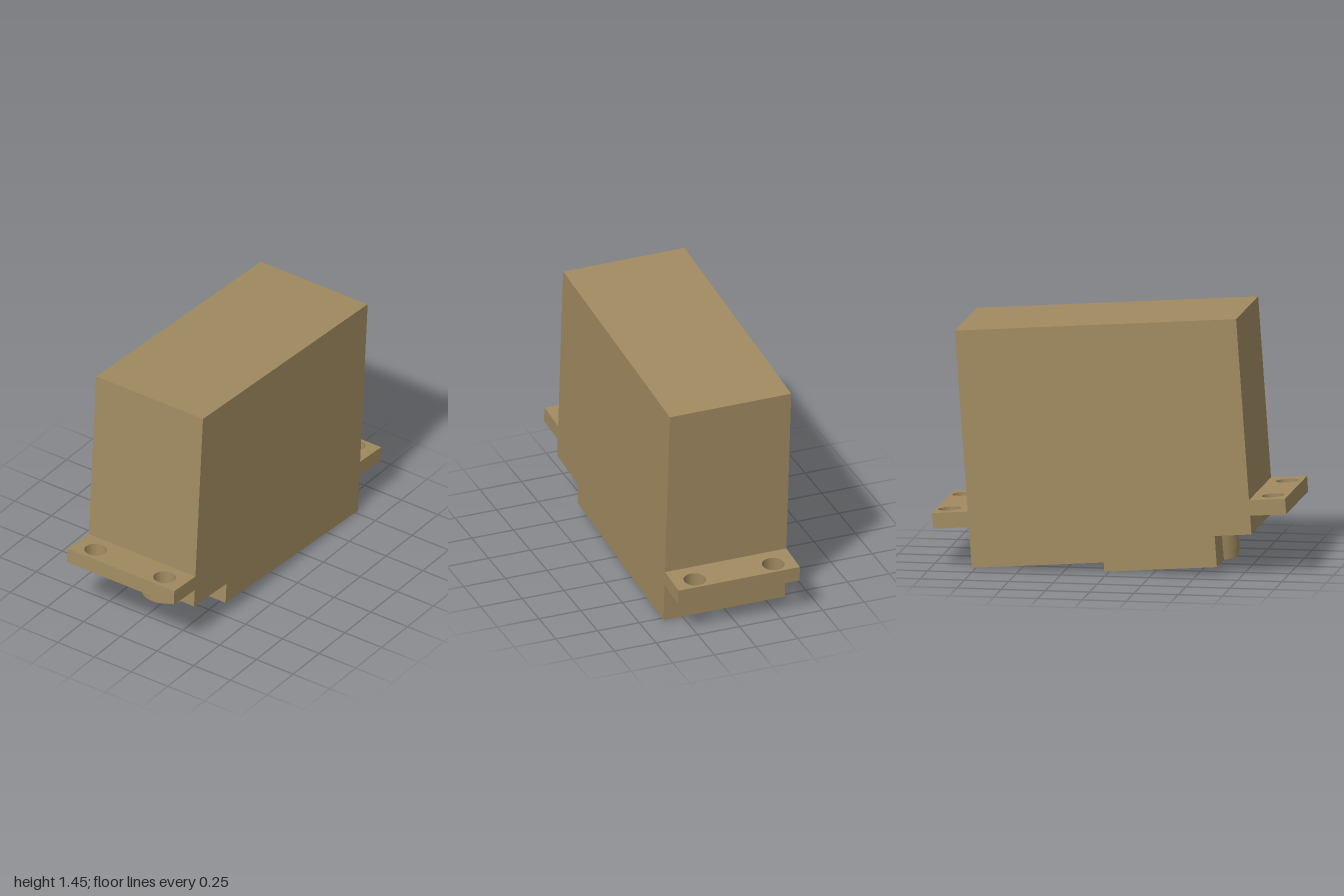
import * as THREE from 'three';
import { toCreasedNormals } from 'three/addons/utils/BufferGeometryUtils.js';

const HALF = 0.364;                    // half width of the case
const TILT = THREE.MathUtils.degToRad(4.07);
const BOSS = { x: -0.0145, z: 0.54 };  // axis of the output boss

export function createModel() {
  const root = new THREE.Group();
  root.name = 'servoMotor';
  const tan = new THREE.MeshStandardMaterial({ color: 0xa08a60 });
  tan.name = 'tan';

  // Everything is built square, then the whole unit leans back slightly.
  const unit = new THREE.Group();
  unit.name = 'tiltedUnit';
  unit.rotation.x = -TILT;
  root.add(unit);

  const add = (name, geometry) => {
    const mesh = new THREE.Mesh(geometry, tan);
    mesh.name = name;
    unit.add(mesh);
    return mesh;
  };

  // Extrude a plan outline (x, z) between two heights.
  const slab = (name, shape, y0, y1) => {
    const g = new THREE.ExtrudeGeometry(shape, { depth: y1 - y0, bevelEnabled: false, curveSegments: 24 });
    g.rotateX(Math.PI / 2);
    g.translate(0, y1, 0);
    return add(name, toCreasedNormals(g, 0.6));
  };
  const rect = (x0, z0, x1, z1) => new THREE.Shape([
    new THREE.Vector2(x0, z0), new THREE.Vector2(x1, z0),
    new THREE.Vector2(x1, z1), new THREE.Vector2(x0, z1),
  ]);

  // Main case
  slab('mainCase', rect(-HALF, -0.772, HALF, 0.82), 0.182, 1.4);

  // Lower case, stepped back at the front around the boss
  const lower = new THREE.Shape();
  lower.moveTo(-HALF, -0.772);
  lower.lineTo(HALF, -0.772);
  lower.lineTo(HALF, 0.506);
  lower.lineTo(BOSS.x, 0.506);
  lower.lineTo(BOSS.x, 0.612);
  lower.lineTo(-HALF, 0.612);
  lower.closePath();
  slab('lowerCase', lower, 0.058, 0.182);

  // Output boss
  const boss = add('outputBoss', new THREE.CylinderGeometry(0.143, 0.143, 0.124, 48));
  boss.position.set(BOSS.x, 0.12, BOSS.z);

  // Bottom cover with a rounded nose under the boss
  const r = 0.137;
  const cover = new THREE.Shape();
  cover.moveTo(-HALF, -0.025);
  cover.lineTo(BOSS.x + r, -0.025);
  cover.lineTo(BOSS.x + r, BOSS.z);
  const end = Math.PI - Math.asin((0.612 - BOSS.z) / r);
  cover.absarc(BOSS.x, BOSS.z, r, 0, end, false);
  cover.lineTo(-HALF, 0.612);
  cover.closePath();
  slab('bottomCover', cover, 0.006, 0.058);

  // Mounting flanges, each with two screw holes
  const flange = (name, z0, z1, holeZ) => {
    const shape = rect(-HALF, z0, HALF, z1);
    for (const x of [-0.235, 0.235]) {
      const hole = new THREE.Path();
      hole.absarc(x, holeZ, 0.063, 0, Math.PI * 2, true);
      shape.holes.push(hole);
    }
    slab(name, shape, 0.288, 0.376);
  };
  flange('frontFlange', 0.82, 1.024, 0.935);
  flange('backFlange', -0.975, -0.772, -0.897);

  return root;
}
